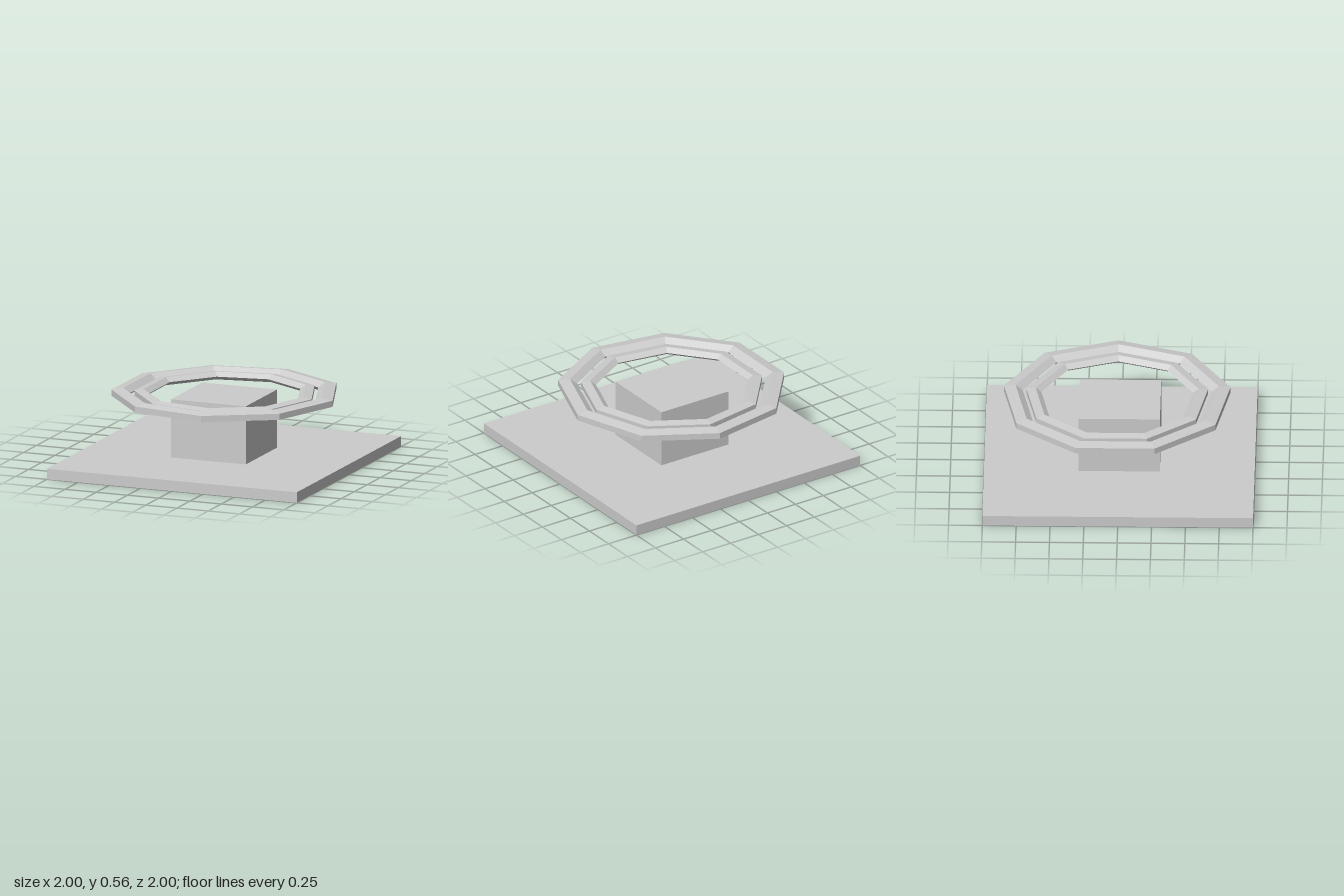
import * as THREE from 'three';

export function createModel() {
  const group = new THREE.Group();
  const material = new THREE.MeshStandardMaterial({ color: 0xcccccc, flatShading: true });

  const add = (name, geometry, x, y, z) => {
    const mesh = new THREE.Mesh(geometry, material);
    mesh.name = name;
    mesh.position.set(x, y, z);
    group.add(mesh);
  };

  // Nine-sided hoop with a flattened pentagon section, its point facing inward
  const hoop = (scale) => {
    const radius = 0.787 * scale, width = 0.0775 * scale, height = 0.0395 * scale;
    const profile = [];
    for (let i = 0; i <= 5; i++) {
      const a = Math.PI / 5 + (i % 5) * Math.PI * 2 / 5;
      profile.push(new THREE.Vector2(radius + width * Math.cos(a), height * Math.sin(a)));
    }
    return new THREE.LatheGeometry(profile, 9, Math.PI / 2);
  };

  // Square slab and the block standing on it
  add('base', new THREE.BoxGeometry(2, 0.08, 2), 0, 0.04, 0);
  add('pedestal', new THREE.BoxGeometry(0.6, 0.44, 0.6), 0, 0.3, 0);

  // Two concentric hoops around the top of the block
  add('outerRing', hoop(1), 0.01, 0.52, -0.023);
  add('innerRing', hoop(0.802), 0.01, 0.52, -0.023);

  return group;
}
